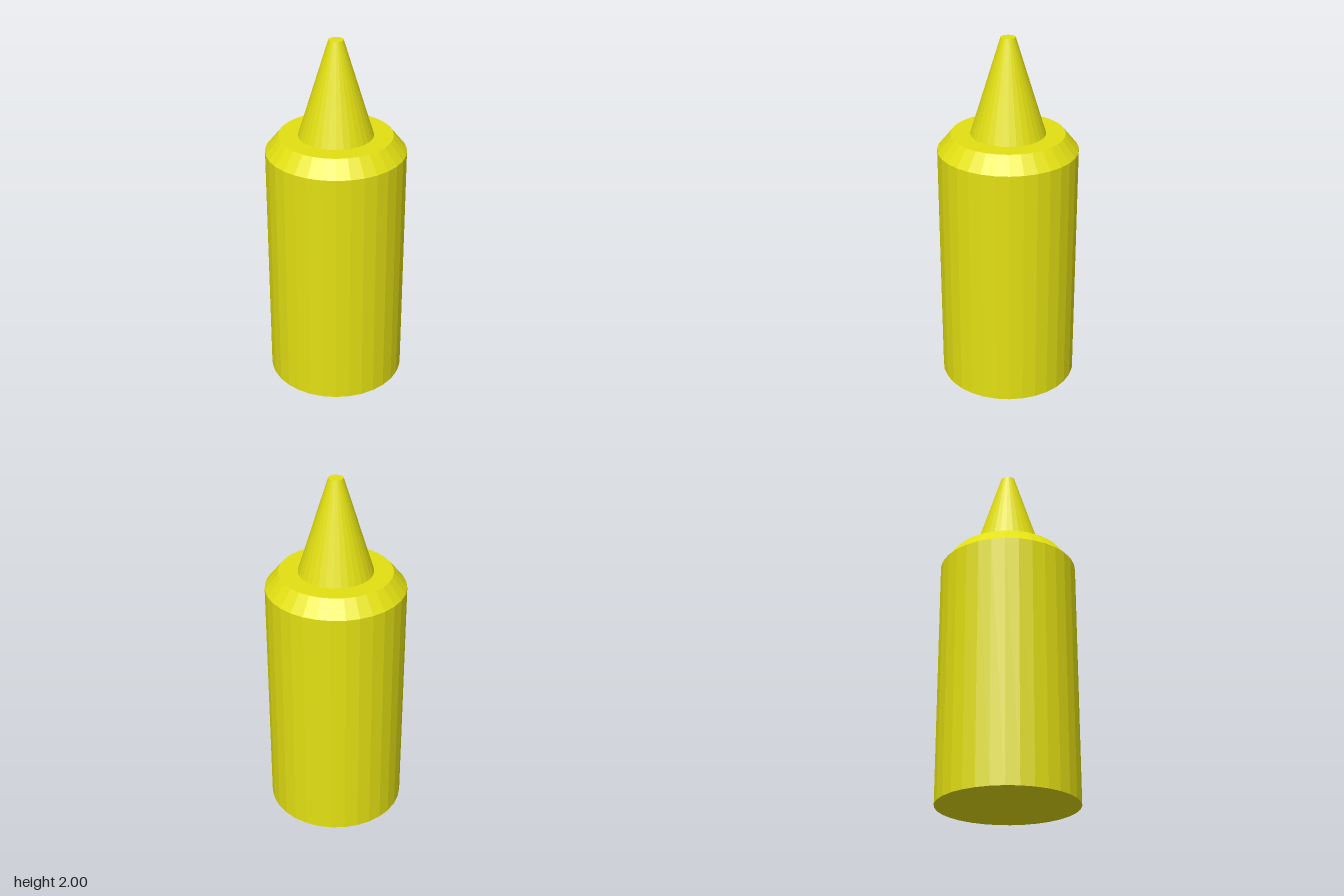
import * as THREE from 'three';

const SIDES = 32;

// Faceted solid of revolution from a [radius, height] profile, bottom to top
function turned(name, profile, material) {
  const points = profile.map(([r, y]) => new THREE.Vector2(r, y));
  const mesh = new THREE.Mesh(new THREE.LatheGeometry(points, SIDES), material);
  mesh.name = name;
  return mesh;
}

export function createModel() {
  const model = new THREE.Group();
  model.name = 'squeezeBottle';

  const yellow = new THREE.MeshStandardMaterial({ color: 0xe3e012, flatShading: true });
  yellow.name = 'mustard yellow';

  // Straight body with a closed base
  model.add(turned('body', [[0, 0], [0.385, 0], [0.385, 1.38]], yellow));

  // Bevelled shoulder and flat ledge around the nozzle
  model.add(turned('shoulder', [[0.385, 1.38], [0.311, 1.47], [0.205, 1.47]], yellow));

  // Tapered nozzle with a blunt tip
  model.add(turned('nozzle', [[0.205, 1.47], [0.04, 2], [0, 2]], yellow));

  return model;
}
